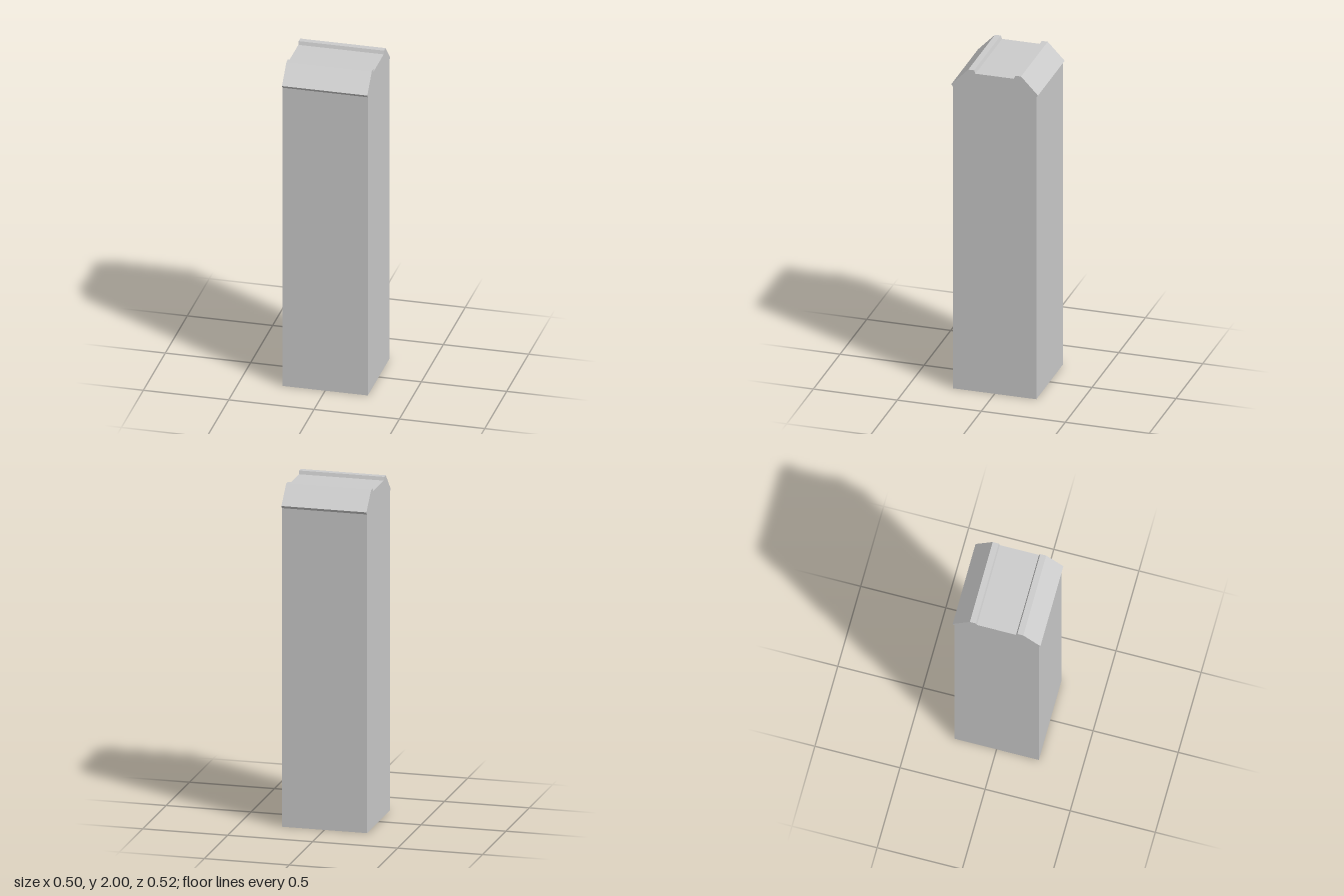
import * as THREE from 'three';

const WIDTH = 0.5;

export function createModel() {
  const group = new THREE.Group();
  group.name = 'pillar';

  // Half of the side profile as (z, y): shaft, small lip, bevel, rim, shallow channel
  const half = [
    [0.248, 0], [0.248, 1.88], [0.258, 1.895], [0.157, 2],
    [0.122, 2], [0.115, 1.98],
  ];
  const mirrored = half.map(([z, y]) => [-z, y]).reverse();
  const outline = [...half, ...mirrored].map(([z, y]) => new THREE.Vector2(z, y));

  // Sweep the profile across the width, turned so that it runs along x
  const geometry = new THREE.ExtrudeGeometry(new THREE.Shape(outline), {
    depth: WIDTH, bevelEnabled: false,
  });
  geometry.rotateY(-Math.PI / 2);
  geometry.translate(WIDTH / 2, 0, 0);

  const material = new THREE.MeshStandardMaterial({ color: 0xcccccc, flatShading: true });
  const body = new THREE.Mesh(geometry, material);
  body.name = 'channelledPillarBody';
  group.add(body);
  return group;
}
